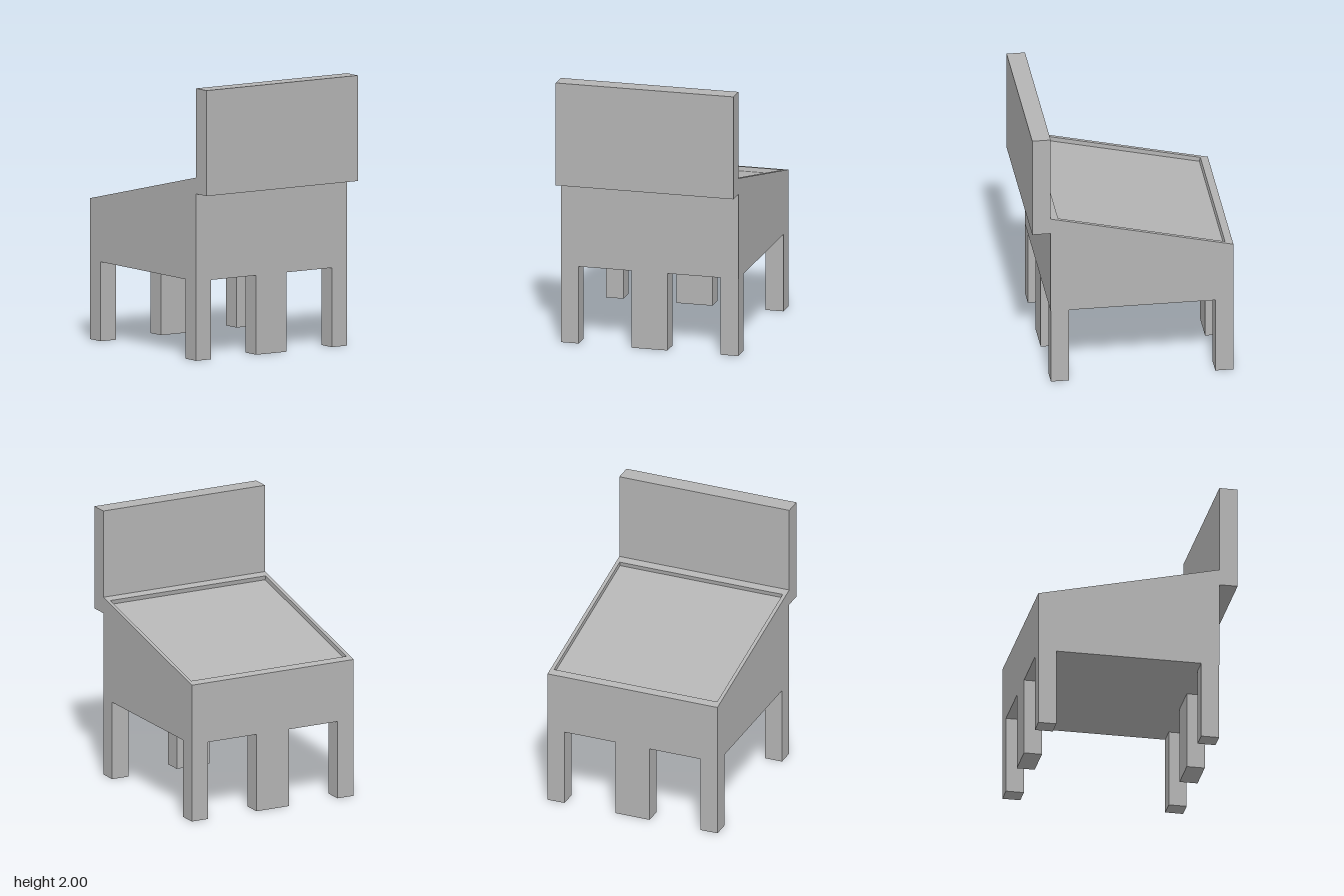
import * as THREE from 'three';

export function createModel() {
  const model = new THREE.Group();
  const grey = new THREE.MeshStandardMaterial({ color: 0xb4b4b4 });
  grey.name = 'plain grey';

  const front = -0.738, rear = 0.603, back = 0.738, halfWidth = 0.67;
  const bottom = 0.583, lowTop = 1.035, highTop = 1.345;

  function add(name, geometry, x = 0, y = 0, z = 0) {
    const mesh = new THREE.Mesh(geometry, grey);
    mesh.name = name;
    mesh.position.set(x, y, z);
    model.add(mesh);
  }

  // box given by its limits on each axis
  function addBox(name, x0, x1, y0, y1, z0, z1) {
    add(name, new THREE.BoxGeometry(x1 - x0, y1 - y0, z1 - z0),
      (x0 + x1) / 2, (y0 + y1) / 2, (z0 + z1) / 2);
  }

  // side profile pulled across the width
  function addProfile(name, points, z0, z1) {
    const shape = new THREE.Shape(points.map(p => new THREE.Vector2(...p)));
    add(name, new THREE.ExtrudeGeometry(shape, { depth: z1 - z0, bevelEnabled: false }), 0, 0, z0);
  }

  // seat block: sloped core with a shallow tray sunk square to the slope
  const slope = (highTop - lowTop) / (rear - front);
  const angle = Math.atan(slope), depth = 0.033;
  const rim = x => [x, lowTop + (x - front) * slope];
  const sunk = x => {
    const [px, py] = rim(x);
    return [px + Math.sin(angle) * depth, py - Math.cos(angle) * depth];
  };
  const trayFront = -0.68, trayRear = 0.545, trayHalf = 0.643;
  addProfile('seatCore', [
    [front, bottom], [rear, bottom], [rear, highTop],
    rim(trayRear), sunk(trayRear), sunk(trayFront), rim(trayFront), [front, lowTop],
  ], -trayHalf, trayHalf);

  // side walls of the seat
  const side = [[front, bottom], [rear, bottom], [rear, highTop], [front, lowTop]];
  addProfile('seatSideLeft', side, trayHalf, halfWidth);
  addProfile('seatSideRight', side, -halfWidth, -trayHalf);

  // backrest hung on the high end
  addBox('backrest', rear, back, 1.225, 2, -halfWidth, halfWidth);

  // three legs at each end, the middle one twice as wide
  const legZ = [[-halfWidth, -0.536], [-0.135, 0.135], [0.536, halfWidth]];
  for (const [x0, x1] of [[front, -0.605], [0.468, 0.601]]) {
    for (const [z0, z1] of legZ) addBox('leg', x0, x1, 0, bottom, z0, z1);
  }

  return model;
}
